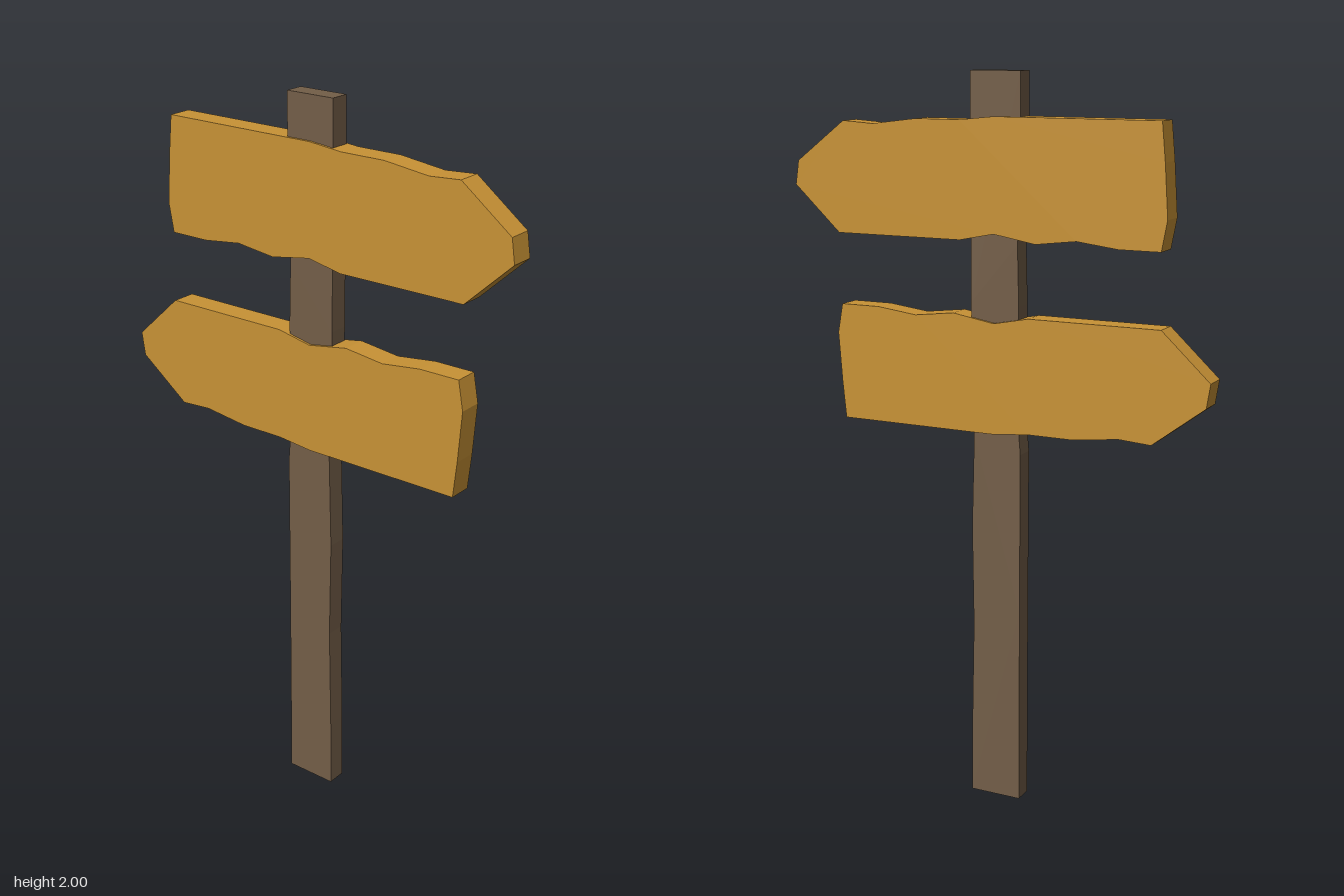
import * as THREE from 'three';

// Cut a plank from a [z, y] outline, centred on x = 0
function plank(name, outline, thickness, color) {
  const shape = new THREE.Shape(outline.map(([z, y]) => new THREE.Vector2(-z, y)));
  const geometry = new THREE.ExtrudeGeometry(shape, { depth: thickness, bevelEnabled: false });
  geometry.translate(0, 0, -thickness / 2);
  geometry.rotateY(Math.PI / 2);
  const material = new THREE.MeshStandardMaterial({ color, flatShading: true });
  const mesh = new THREE.Mesh(geometry, material);
  mesh.name = name;
  return mesh;
}

export function createModel() {
  const group = new THREE.Group();
  group.name = 'signpost';

  // Roughly hewn upright post
  const postOutline = [
    [0.072, 0], [-0.075, 0], [-0.075, 0.55], [-0.076, 1.0], [-0.071, 1.06], [-0.07, 1.4],
    [-0.066, 1.56], [-0.073, 1.88], [-0.073, 2],
    [0.07, 2], [0.07, 1.4], [0.062, 1.04], [0.069, 0.78], [0.065, 0.5], [0.071, 0.2],
  ];
  group.add(plank('post', postOutline, 0.054, 0x735e48));

  // Arrow board with a worn outline, pointing to +z; y is relative to its middle
  const boardOutline = [
    [0.605, -0.035], [0.47, -0.16], [0.1, -0.16], [0, -0.14], [-0.12, -0.16],
    [-0.235, -0.146], [-0.35, -0.16], [-0.465, -0.16], [-0.48, -0.08], [-0.47, 0.06],
    [-0.46, 0.16], [0, 0.16], [0.1, 0.15], [0.23, 0.15], [0.36, 0.134],
    [0.45, 0.14], [0.595, 0.03],
  ];
  const upper = plank('upperBoard', boardOutline, 0.068, 0xc89235);
  upper.position.y = 1.725;

  // The lower board is the same piece turned half round to point the other way
  const lower = plank('lowerBoard', boardOutline, 0.068, 0xc89235);
  lower.rotation.x = Math.PI;
  lower.position.y = 1.21;

  group.add(upper, lower);
  return group;
}
